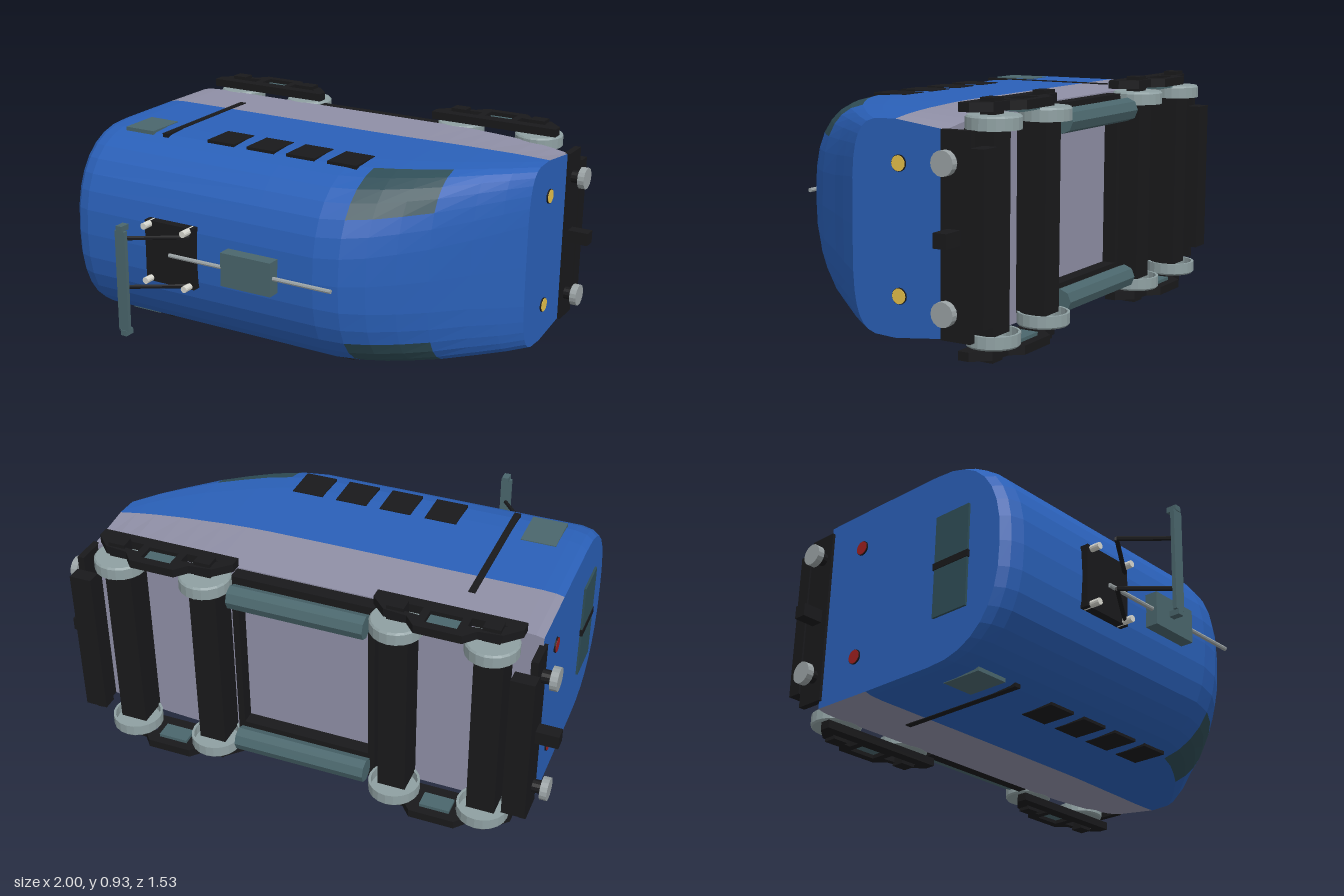
import * as THREE from 'three';

const C = 0.465; // lateral centre: the vehicle lies on its side, roof towards +z
const mat = (color, extra = {}) => new THREE.MeshStandardMaterial({ color, flatShading: true, ...extra });
const M = {
  blue: mat(0x2a60b8), grey: mat(0x8f8fa6), black: mat(0x19191b), glass: mat(0x2f4d56),
  teal: mat(0x4a666c), wheel: mat(0x8fa0a2, { side: THREE.DoubleSide }), buffer: mat(0x9aa2a4),
  white: mat(0xd8d8d0), yellow: mat(0xe6c14a), red: mat(0x9c1f1f),
};

export function createModel() {
  const model = new THREE.Group();
  model.name = 'locomotive';

  const add = (name, geo, m, x = 0, y = 0, z = 0) => {
    const mesh = new THREE.Mesh(geo, m);
    mesh.name = name;
    mesh.position.set(x, y, z);
    model.add(mesh);
    return mesh;
  };
  // box given by its extents
  const box = (name, m, x0, x1, y0, y1, z0, z1) =>
    add(name, new THREE.BoxGeometry(x1 - x0, y1 - y0, z1 - z0), m, (x0 + x1) / 2, (y0 + y1) / 2, (z0 + z1) / 2);
  // cylinder between two points
  const rod = (name, m, a, b, r, sides = 12) => {
    const p = new THREE.Vector3(...a), q = new THREE.Vector3(...b), d = q.clone().sub(p);
    const mesh = add(name, new THREE.CylinderGeometry(r, r, d.length(), sides), m);
    mesh.position.copy(p.add(q).multiplyScalar(0.5));
    mesh.quaternion.setFromUnitVectors(new THREE.Vector3(0, 1, 0), d.normalize());
  };

  // Body stations: x, roof z, shoulder z, half width, colour split z, arch exponent, inset at the floor
  const stations = [
    [-0.9, 0.365, 0.02, 0.398, -0.31, 2.4, 0.003],
    [-0.87, 0.395, 0.04, 0.405, -0.31, 2.4, 0.003],
    [-0.82, 0.41, 0.05, 0.408, -0.31, 2.4, 0.003],
    [0, 0.41, 0.05, 0.408, -0.31, 2.4, 0.003],
    [0.27, 0.41, 0.05, 0.408, -0.312, 2.4, 0.003],
    [0.37, 0.388, 0.01, 0.408, -0.316, 2.5, 0.003],
    [0.46, 0.335, -0.03, 0.407, -0.322, 2.6, 0.004],
    [0.55, 0.255, -0.08, 0.405, -0.33, 2.75, 0.006],
    [0.64, 0.16, -0.13, 0.403, -0.337, 2.9, 0.009],
    [0.75, 0.015, -0.21, 0.399, -0.35, 3.2, 0.014],
    [0.83, -0.085, -0.28, 0.394, -0.36, 3.6, 0.02],
    [0.9, -0.18, -0.355, 0.388, -0.37, 4, 0.026],
  ];
  const floorZ = -0.58, steps = 16;
  const rings = stations.map(([x, T, S, W, G, n, inset]) => {
    const ring = [[x, C + W - inset, floorZ], [x, C + W, G]];
    for (let k = 0; k <= steps; k++) {
      const t = (k / steps) * Math.PI, c = Math.cos(t);
      ring.push([
        x,
        C + W * Math.sign(c) * Math.abs(c) ** (2 / n),
        S + (T - S) * Math.max(0, Math.sin(t)) ** (2 / n),
      ]);
    }
    ring.push([x, C - W, G], [x, C - W + inset, floorZ]);
    return ring;
  });
  const rows = rings[0].length;
  const parts = { blue: [], grey: [], glass: [] };
  for (let i = 0; i < rings.length - 1; i++) {
    for (let j = 0; j < rows; j++) {
      const k = (j + 1) % rows;
      const a = rings[i][j], b = rings[i + 1][j], c = rings[i + 1][k], d = rings[i][k];
      const cab = stations[i][0] >= 0.37 && stations[i][0] < 0.64;
      const pane = (j >= 3 && j <= 6) || (j >= 13 && j <= 16);
      const key = j === 0 || j >= rows - 2 ? 'grey' : cab && pane ? 'glass' : 'blue';
      parts[key].push(...a, ...d, ...b, ...b, ...d, ...c);
    }
  }
  // end walls
  [[rings[0], false], [rings[rings.length - 1], true]].forEach(([ring, front]) => {
    const mid = [ring[0][0], C, -0.4];
    for (let j = 0; j < rows; j++) {
      const a = ring[j], b = ring[(j + 1) % rows];
      parts.blue.push(...mid, ...(front ? a : b), ...(front ? b : a));
    }
  });
  const names = { blue: 'bodyShell', grey: 'lowerBody', glass: 'cabWindows' };
  for (const key in parts) {
    const g = new THREE.BufferGeometry();
    g.setAttribute('position', new THREE.Float32BufferAttribute(parts[key], 3));
    g.computeVertexNormals();
    add(names[key], g, M[key]);
  }

  // Bogie side frame with openings, drawn in x / z
  const frame = new THREE.Shape([
    [-0.28, -0.585], [0.28, -0.585], [0.28, -0.63], [0.22, -0.69], [0.13, -0.7], [0.09, -0.745],
    [-0.09, -0.745], [-0.13, -0.7], [-0.22, -0.69], [-0.28, -0.63],
  ].map(([x, z]) => new THREE.Vector2(x, -z)));
  const hole = (pts) => frame.holes.push(new THREE.Path(pts.map(([x, z]) => new THREE.Vector2(x, -z))));
  hole([[-0.06, -0.64], [0.06, -0.64], [0.06, -0.71], [-0.06, -0.71]]);
  [-1, 1].forEach((s) => hole([[s * 0.22, -0.63], [s * 0.09, -0.63], [s * 0.09, -0.68], [s * 0.14, -0.675], [s * 0.18, -0.675]]));
  const frameGeo = new THREE.ExtrudeGeometry(frame, { depth: 0.033, bevelEnabled: false });
  frameGeo.rotateX(-Math.PI / 2); // shape y becomes -z, depth becomes +y

  // Cup-shaped wheel: outer disc, tread, and a hollow facing the axle
  const wheelGeo = new THREE.LatheGeometry([
    [0.001, 0.014], [0.09, 0.014], [0.09, -0.025], [0.1, -0.025], [0.1, 0.018], [0.094, 0.025], [0.001, 0.025],
  ].map(([r, y]) => new THREE.Vector2(r, y)), 20);

  for (const s of [-1, 1]) {
    // lateral extents measured outward from the centre line
    const sideBox = (name, m, x0, x1, d0, d1, z0, z1) =>
      box(name, m, x0, x1, C + Math.min(s * d0, s * d1), C + Math.max(s * d0, s * d1), z0, z1);

    // windows, vent and door seam
    [-0.315, -0.125, 0.062, 0.25].forEach((x) => sideBox('sideWindow', M.black, x - 0.065, x + 0.065, 0.38, 0.411, 0, 0.152));
    sideBox('sideVent', M.teal, -0.785, -0.645, 0.38, 0.411, -0.012, 0.165);
    sideBox('doorStrip', M.black, -0.595, -0.568, 0.38, 0.411, -0.42, 0.167);

    // running gear
    for (const bx of [-0.56, 0.555]) {
      add('bogieFrame', frameGeo, M.black, bx, C + s * 0.4345 - 0.0165, 0);
      sideBox('springBox', M.teal, bx - 0.06, bx + 0.06, 0.405, 0.435, -0.71, -0.64);
      for (const o of [-0.178, 0.178]) {
        const w = add('wheel', wheelGeo, M.wheel, bx + o, C + s * 0.381, -0.665);
        if (s < 0) w.rotation.x = Math.PI;
        sideBox('axleBox', M.black, bx + o - 0.033, bx + o + 0.033, 0.4, 0.465, -0.685, -0.63);
      }
    }
    // underfloor tanks between the bogies
    rod('airTank', M.teal, [-0.27, C + s * 0.34, -0.675], [0.27, C + s * 0.34, -0.675], 0.047, 8);
    sideBox('tankRail', M.black, -0.285, 0.285, 0.29, 0.4, -0.635, -0.575);

    // end lamps in dark housings, and buffers
    const y = C + s * 0.235, yb = C + s * 0.258;
    for (const [name, m, e] of [['headlight', M.yellow, 1], ['tailLight', M.red, -1]]) {
      rod('lampHousing', M.black, [e * 0.89, y, -0.385], [e * 0.906, y, -0.385], 0.03, 16);
      rod(name, m, [e * 0.9, y, -0.385], [e * 0.908, y, -0.385], 0.028, 16);
    }
    for (const e of [-1, 1]) {
      rod('bufferStem', M.black, [e * 0.9, yb, -0.61], [e * 0.95, yb, -0.61], 0.026);
      rod('bufferDisc', M.buffer, [e * 0.947, yb, -0.61], [e * 0.975, yb, -0.61], 0.045, 16);
    }
    // rear window panes
    sideBox('rearWindow', M.glass, -0.909, -0.88, 0.014, 0.21, 0.04, 0.21);
  }
  box('rearWindowBar', M.black, -0.912, -0.88, C - 0.014, C + 0.014, 0.035, 0.215);

  // axle housings
  for (const x of [-0.738, -0.382, 0.377, 0.733])
    box('axleHousing', M.black, x - 0.055, x + 0.055, C - 0.365, C + 0.365, -0.7, -0.575);

  // end beams, couplers and tank cross members
  for (const e of [-1, 1]) {
    const endBox = (name, x0, x1, hw, z0, z1) =>
      box(name, M.black, Math.min(e * x0, e * x1), Math.max(e * x0, e * x1), C - hw, C + hw, z0, z1);
    endBox('bufferBeam', 0.885, 0.912, 0.365, -0.685, -0.565);
    endBox('lowerBeam', 0.83, 0.92, 0.308, -0.742, -0.685);
    endBox('coupler', 0.9, 1, 0.027, -0.645, -0.592);
    endBox('crossMember', 0.262, 0.288, 0.39, -0.635, -0.575);
  }

  // roof equipment
  box('pantographBase', M.black, -0.5, -0.265, C - 0.13, C + 0.13, 0.39, 0.435);
  for (const x of [-0.477, -0.287])
    for (const s of [-1, 1]) rod('insulator', M.white, [x, C + s * 0.117, 0.4], [x, C + s * 0.117, 0.477], 0.014);
  box('roofBox', M.teal, -0.117, 0.113, C - 0.07, C + 0.07, 0.39, 0.462);
  rod('roofCable', M.buffer, [-0.38, C, 0.44], [0.37, C, 0.44], 0.009, 8);

  // pantograph arms and collector head
  for (const s of [-1, 1]) {
    const y = C - 0.01 + s * 0.104;
    rod('lowerArm', M.black, [-0.28, y, 0.435], [-0.508, y, 0.582], 0.009, 6);
    rod('upperArm', M.black, [-0.508, y, 0.582], [-0.372, y, 0.745], 0.009, 6);
    const ye = C + s * 0.215;
    box('collectorHorn', M.teal, -0.384, -0.356, ye - 0.011, ye + 0.011, 0.722, 0.765);
  }
  box('collectorHead', M.teal, -0.393, -0.347, C - 0.205, C + 0.205, 0.745, 0.762);

  return model;
}
